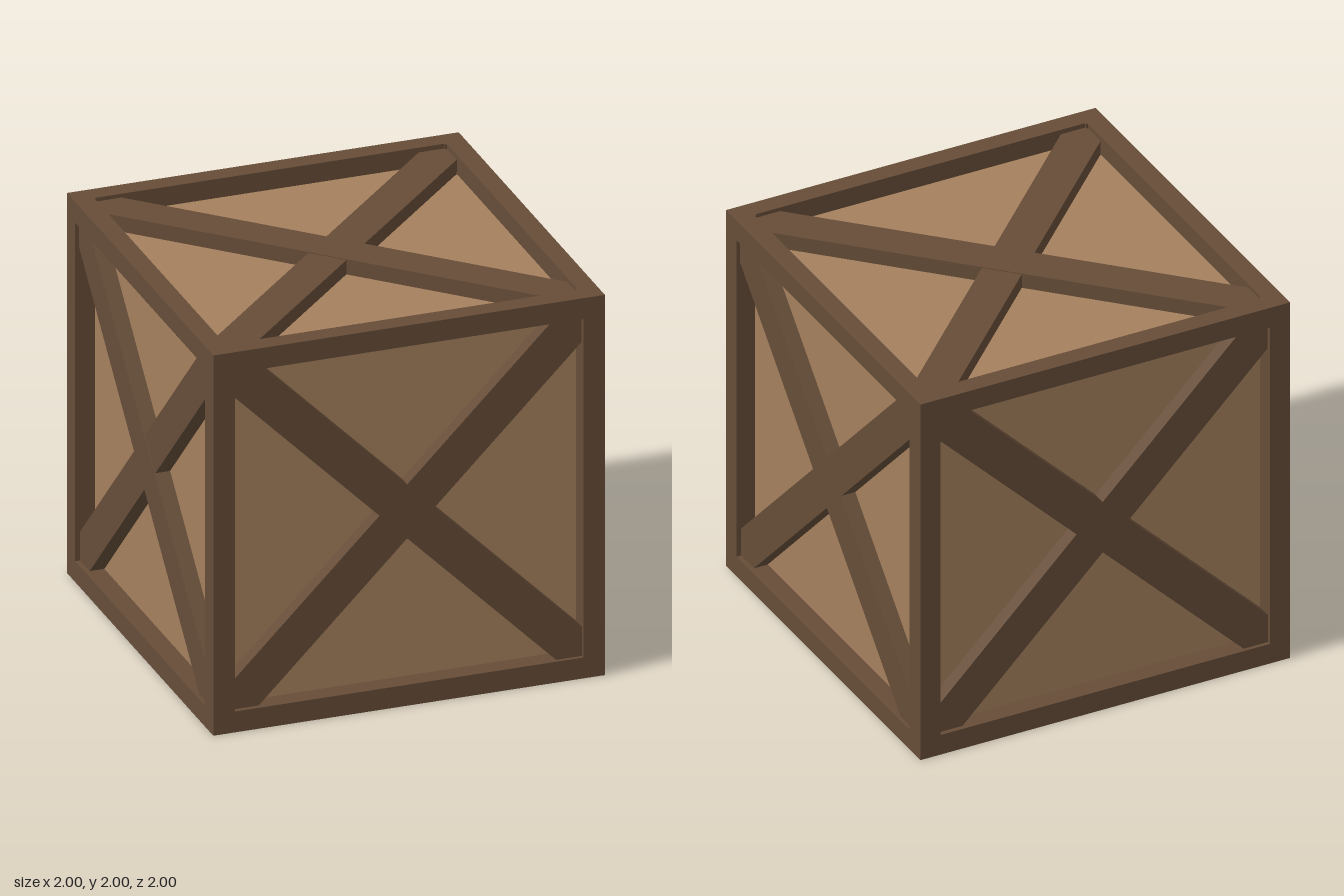
import * as THREE from 'three';

const frameMat = new THREE.MeshStandardMaterial({ color: 0x664d38 });
const panelMat = new THREE.MeshStandardMaterial({ color: 0xa5805e });

function box(name, size, pos, mat, parent) {
  const mesh = new THREE.Mesh(new THREE.BoxGeometry(...size), mat);
  mesh.name = name;
  mesh.position.set(...pos);
  parent.add(mesh);
  return mesh;
}

// Two crossed braces lying in the XY plane, facing +z; one sits slightly proud
function crossBrace(name) {
  const group = new THREE.Group();
  group.name = name;
  [-1, 1].forEach((s) => {
    const depth = s < 0 ? 0.085 : 0.08;
    const brace = box('brace', [2.54, 0.2, depth], [0, 0, 0.895 + depth / 2], frameMat, group);
    brace.rotation.z = s * Math.PI / 4;
  });
  return group;
}

export function createModel() {
  const crate = new THREE.Group();
  crate.name = 'crate';
  const post = 0.11;
  const rail = 0.1;
  const postAt = 1 - post / 2;
  const railAt = 1 - rail / 2;

  // Inset plank panels as one closed core, and a solid base
  box('panels', [1.8, 1.85, 1.8], [0, 0.975, 0], panelMat, crate);
  box('base', [1.85, post, 1.85], [0, post / 2, 0], frameMat, crate);

  // Corner posts
  for (const x of [-1, 1]) {
    for (const z of [-1, 1]) {
      box('cornerPost', [post, 2, post], [x * postAt, 1, z * postAt], frameMat, crate);
    }
  }

  // Top and bottom rails
  const span = 2 - 2 * post;
  for (const y of [post / 2, 2 - post / 2]) {
    for (const s of [-1, 1]) {
      box('crossRail', [span, post, rail], [0, y, s * railAt], frameMat, crate);
      box('sideRail', [rail, post, span], [s * railAt, y, 0], frameMat, crate);
    }
  }

  // Crossed braces on the four sides and the top
  ['frontBraces', 'leftBraces', 'backBraces', 'rightBraces'].forEach((name, i) => {
    const braces = crossBrace(name);
    braces.position.y = 1.01;
    braces.rotation.y = i * Math.PI / 2;
    crate.add(braces);
  });
  const topBraces = crossBrace('topBraces');
  topBraces.rotation.x = -Math.PI / 2;
  topBraces.position.y = 1;
  crate.add(topBraces);

  return crate;
}
